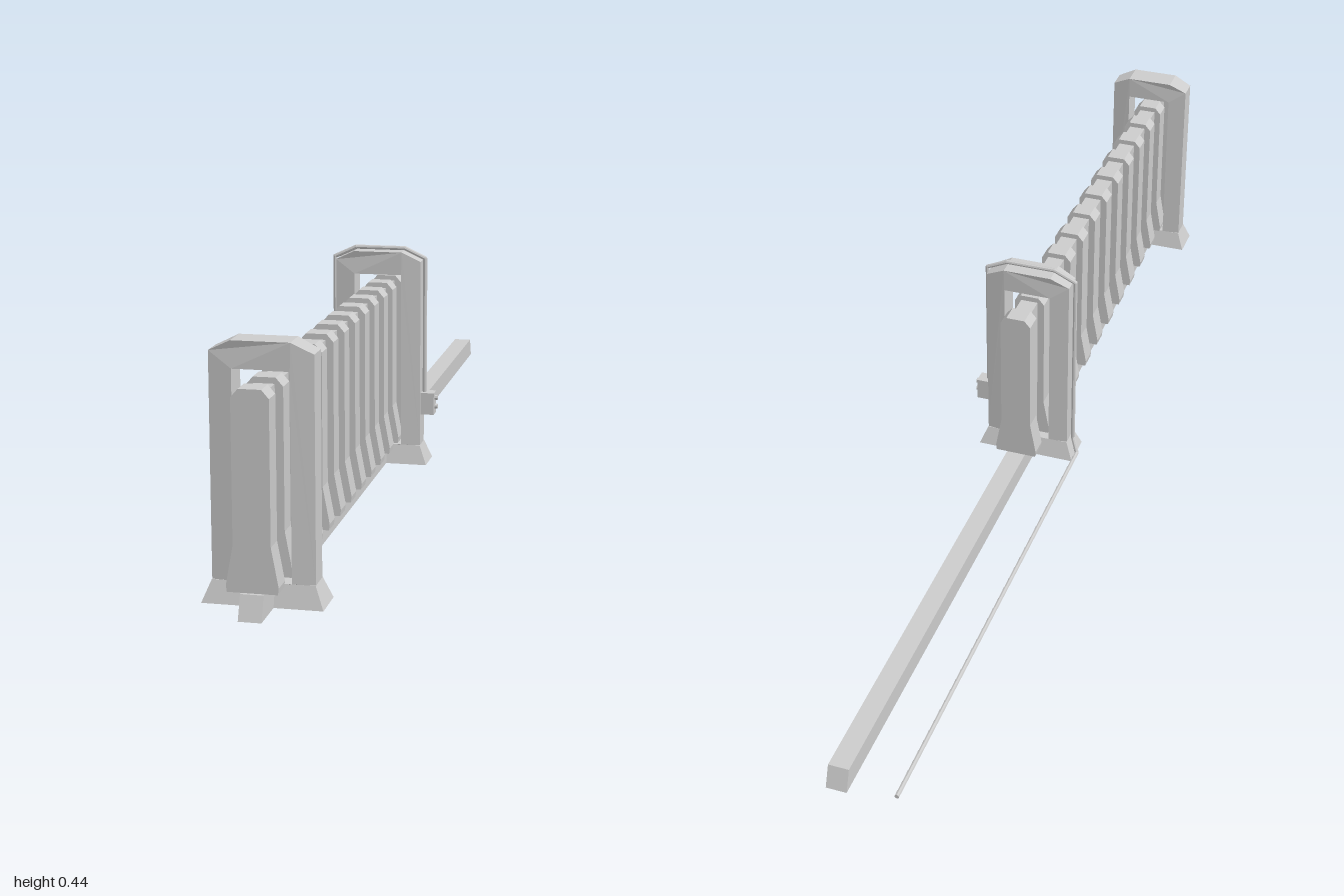
import * as THREE from 'three';

const CX = -0.0045; // shared centre line of rail, fins and arches
const mat = new THREE.MeshStandardMaterial({ color: 0xcccccc, flatShading: true });

function add(parent, geometry, name, x = 0, y = 0, z = 0) {
  const mesh = new THREE.Mesh(geometry, mat);
  mesh.name = name;
  mesh.position.set(x, y, z);
  parent.add(mesh);
  return mesh;
}

// Shape symmetric about x = 0, from the right-hand half of its outline (bottom to top)
function mirrored(half) {
  const left = half.map(([x, y]) => [-x, y]).reverse();
  return [...half, ...left].map(([x, y]) => new THREE.Vector2(x, y));
}

function extrude(shape, depth) {
  return new THREE.ExtrudeGeometry(shape, { depth, bevelEnabled: false }).translate(0, 0, -depth / 2);
}

// Box standing on y = 0 whose top differs in size from its bottom
function frustum(bw, bd, tw, td, h) {
  const g = new THREE.BoxGeometry(bw, h, bd).translate(0, h / 2, 0);
  const p = g.attributes.position;
  for (let i = 0; i < p.count; i++) {
    if (p.getY(i) > h / 2) p.setXYZ(i, p.getX(i) * tw / bw, h, p.getZ(i) * td / bd);
  }
  g.computeVertexNormals();
  return g;
}

// Upright frame with chamfered shoulders, slightly thicker towards the middle
function makeArch(z) {
  const arch = new THREE.Group();
  arch.name = 'arch';
  arch.position.set(CX, 0, z);
  const shape = new THREE.Shape(mirrored([[0.085, 0.036], [0.085, 0.409], [0.048, 0.427]]));
  shape.holes.push(new THREE.Path(mirrored([[0.047, 0.038], [0.047, 0.382]])));
  const g = extrude(shape, 0.042);
  const p = g.attributes.position;
  for (let i = 0; i < p.count; i++) {
    if (Math.abs(p.getX(i)) < 0.06) p.setZ(i, p.getZ(i) * 1.22);
  }
  g.computeVertexNormals();
  add(arch, g, 'archFrame');
  add(arch, frustum(0.2, 0.07, 0.17, 0.047, 0.037), 'archFoot');
  return arch;
}

// Round cable following straight runs with ball joints at the bends
function makeCable(points, radius) {
  const cable = new THREE.Group();
  cable.name = 'cable';
  const up = new THREE.Vector3(0, 1, 0);
  const pts = points.map((q) => new THREE.Vector3(...q));
  for (let i = 1; i < pts.length; i++) {
    const dir = pts[i].clone().sub(pts[i - 1]);
    const mid = pts[i].clone().add(pts[i - 1]).multiplyScalar(0.5);
    const run = add(cable, new THREE.CylinderGeometry(radius, radius, dir.length(), 8), 'cableRun', mid.x, mid.y, mid.z);
    run.quaternion.setFromUnitVectors(up, dir.normalize());
    if (i < pts.length - 1) {
      add(cable, new THREE.SphereGeometry(radius, 8, 6), 'cableBend', ...points[i]);
    }
  }
  return cable;
}

export function createModel() {
  const model = new THREE.Group();
  model.name = 'finnedBarrier';

  // Long ground rail with sloped ends
  add(model, frustum(0.038, 2, 0.038, 1.97, 0.04), 'rail', CX);

  // Thin wall joining the fins
  add(model, new THREE.BoxGeometry(0.034, 0.318, 1.02), 'wallPanel', CX, 0.197, 0.45);

  // Row of fins, flared at the bottom and chamfered at the top
  const finGeometry = extrude(new THREE.Shape(mirrored([
    [0.041, 0.041], [0.0425, 0.052], [0.0305, 0.117], [0.0305, 0.352], [0.0185, 0.366],
  ])), 0.038);
  for (let i = 0; i < 13; i++) add(model, finGeometry, 'fin', CX, 0, 0.963 - i * 0.0851);

  // Two arches straddling the row
  const backZ = 0.018;
  model.add(makeArch(0.893), makeArch(backZ));

  // Junction box with two studs on the rear arch
  const box = new THREE.Group();
  box.name = 'junctionBox';
  box.position.set(0, 0, backZ);
  model.add(box);
  add(box, new THREE.BoxGeometry(0.028, 0.044, 0.028), 'boxBody', 0.093, 0.121, 0);
  for (const y of [0.132, 0.114]) {
    const stud = add(box, new THREE.CylinderGeometry(0.005, 0.005, 0.007, 8), 'boxStud', 0.109, y, 0);
    stud.rotation.z = Math.PI / 2;
  }

  // Cable from the box over the arch, then back along the ground
  model.add(makeCable([
    [0.086, 0.14, backZ], [0.086, 0.413, backZ], [0.045, 0.432, backZ], [-0.053, 0.432, backZ],
    [-0.096, 0.412, backZ], [-0.096, 0.036, backZ], [-0.108, 0.005, backZ - 0.01], [-0.108, 0.005, -0.985],
  ], 0.0042));

  return model;
}
